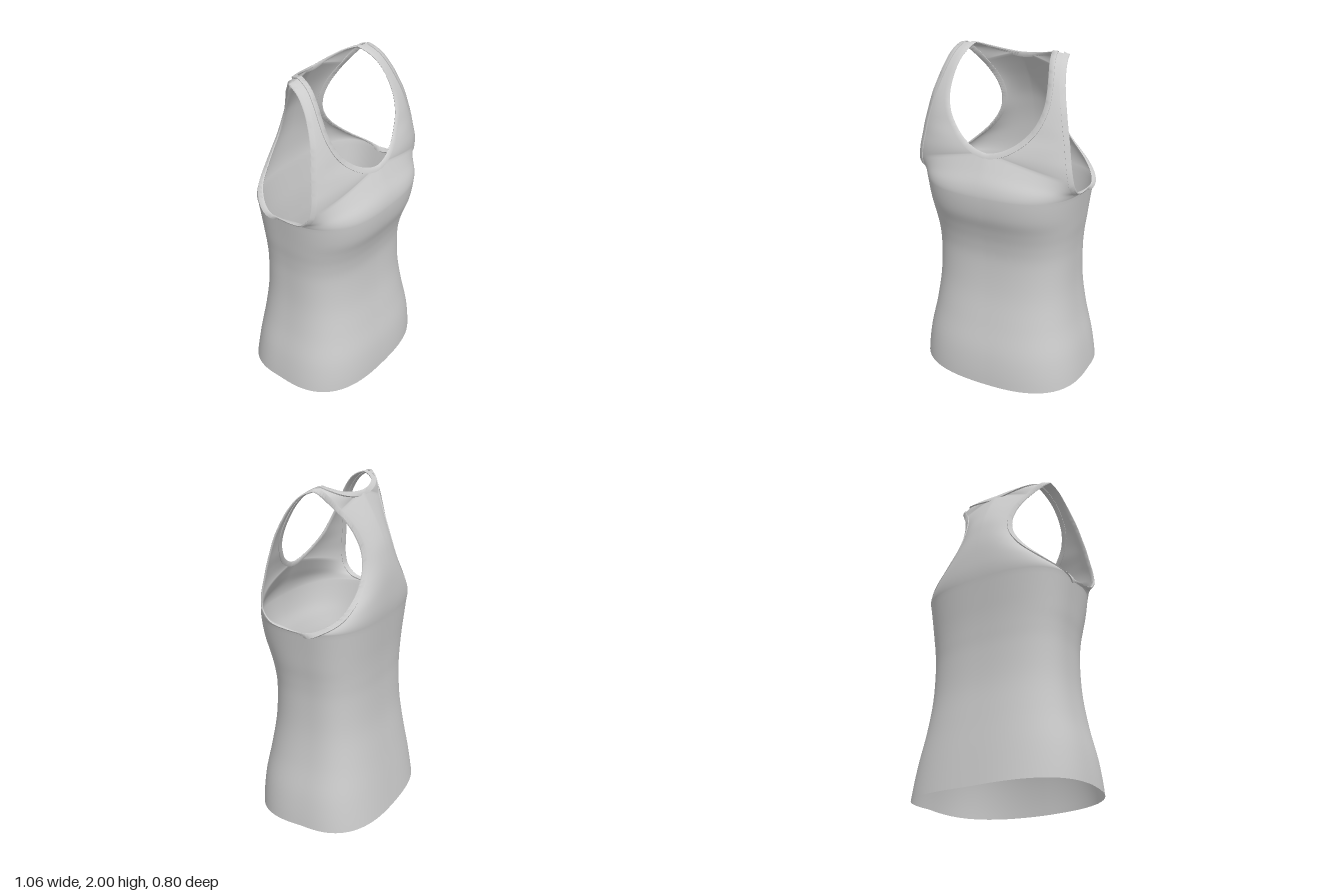
import * as THREE from 'three';
import { mergeVertices, toCreasedNormals } from 'three/addons/utils/BufferGeometryUtils.js';

// Rows run from an inner point (centre line / neckline) to an outer point
// (side seam / armhole): [xi, yi, zi, xo, yo, zo, arc in degrees]
const SEAM = -0.03;

// Torso: height, half width, front depth, back depth
const torso = [
  [0, 0.53, 0.4, -0.4], [0.2, 0.505, 0.388, -0.37], [0.4, 0.462, 0.35, -0.338],
  [0.6, 0.435, 0.316, -0.31], [0.8, 0.43, 0.305, -0.3], [0.92, 0.437, 0.318, -0.302],
  [1.02, 0.45, 0.345, -0.307], [1.12, 0.462, 0.38, -0.316], [1.24, 0.478, 0.395, -0.328],
];
const torsoRows = (depth) => torso.map((r) =>
  [0, r[0], r[depth], r[1], r[0] + (r[0] === 0 ? 0.02 : 0), SEAM, 90]);

const bust = [
  [0, 1.24, 0.395, 0.478, 1.24, SEAM, 90],
  [0, 1.31, 0.382, 0.487, 1.25, 0.07, 77],
  [0, 1.39, 0.343, 0.492, 1.275, 0.16, 65],
  [0, 1.47, 0.302, 0.487, 1.34, 0.215, 54],
];
const frontStrap = [
  [0, 1.47, 0.302, 0.487, 1.34, 0.215, 54],
  [0.08, 1.487, 0.294, 0.475, 1.42, 0.222, 44],
  [0.16, 1.53, 0.273, 0.46, 1.5, 0.212, 38],
  [0.225, 1.59, 0.245, 0.448, 1.57, 0.202, 35],
  [0.27, 1.66, 0.22, 0.432, 1.64, 0.19, 35],
  [0.293, 1.74, 0.187, 0.412, 1.73, 0.17, 35],
  [0.293, 1.82, 0.15, 0.39, 1.81, 0.14, 35],
  [0.28, 1.9, 0.105, 0.37, 1.885, 0.1, 35],
  [0.26, 1.96, 0.048, 0.352, 1.95, 0.044, 35],
  [0.24, 1.995, SEAM, 0.335, 1.985, SEAM, 35],
];
const racerBack = [
  [0, 1.24, -0.328, 0.478, 1.24, SEAM, 90],
  [0, 1.32, -0.335, 0.462, 1.263, -0.125, 74],
  [0, 1.41, -0.333, 0.385, 1.325, -0.215, 60],
  [0, 1.5, -0.325, 0.275, 1.43, -0.252, 50],
  [0, 1.59, -0.308, 0.2, 1.54, -0.253, 44],
  [0, 1.68, -0.283, 0.175, 1.64, -0.235, 40],
  [0, 1.78, -0.238, 0.185, 1.73, -0.203, 37],
  [0, 1.87, -0.187, 0.215, 1.805, -0.167, 35],
  [0, 1.94, -0.142, 0.25, 1.865, -0.132, 35],
];
const backStrap = [
  [0, 1.94, -0.142, 0.25, 1.865, -0.132, 35],
  [0.1, 1.948, -0.134, 0.272, 1.9, -0.108, 35],
  [0.185, 1.965, -0.108, 0.293, 1.932, -0.082, 35],
  [0.225, 1.982, -0.07, 0.315, 1.965, -0.055, 35],
  [0.24, 1.995, SEAM, 0.335, 1.985, SEAM, 35],
];

// Smooth subdivision of a row table
function refine(rows, steps) {
  const n = rows.length;
  const end = (a, b, c) => a.map((v, k) => 3 * v - 3 * b[k] + c[k]);
  const p = [end(rows[0], rows[1], rows[2]), ...rows, end(rows[n - 1], rows[n - 2], rows[n - 3])];
  const out = [];
  for (let i = 1; i < n; i++) {
    for (let j = 0; j < steps; j++) {
      const t = j / steps;
      out.push(p[i].map((b, k) => {
        const a = p[i - 1][k], c = p[i + 1][k], d = p[i + 2][k];
        return b + 0.5 * t * (c - a + t * (2 * a - 5 * b + 4 * c - d + t * (3 * (b - c) + d - a)));
      }));
    }
  }
  out.push(rows[n - 1]);
  return out;
}

// One row of points following part of a rounded-square arc
const COLS = 28, POWER = 2.8;
function rowPoints([xi, yi, zi, xo, yo, zo, deg]) {
  const arc = (phi) => {
    const s = Math.sin(phi), c = Math.max(0, Math.cos(phi));
    const r = (s ** POWER + c ** POWER) ** (-1 / POWER);
    return [r * s, 1 - r * c];
  };
  const max = deg * Math.PI / 180, [ex, ez] = arc(max);
  return Array.from({ length: COLS + 1 }, (_, j) => {
    const s = j / COLS, [ax, az] = arc(s * max);
    return new THREE.Vector3(xi + (xo - xi) * ax / ex, yi + (yo - yi) * s ** 1.25, zi + (zo - zi) * az / ez);
  });
}

const mirror = (v) => new THREE.Vector3(-v.x, v.y, v.z);

// Weld all grids and their mirrored halves into one cloth surface
function clothGeometry(grids) {
  const pos = [], index = [];
  for (const { rows, back } of grids) for (const side of [1, -1]) {
    const base = pos.length / 3, flip = back !== (side < 0);
    rows.forEach((row) => row.forEach((v) => pos.push(side * v.x, v.y, v.z)));
    for (let i = 0; i < rows.length - 1; i++) for (let j = 0; j < COLS; j++) {
      const a = base + i * (COLS + 1) + j, b = a + 1, c = a + COLS + 1, d = c + 1;
      if (flip) index.push(a, d, b, a, c, d);
      else index.push(a, b, d, a, d, c);
    }
  }
  let geo = new THREE.BufferGeometry();
  geo.setAttribute('position', new THREE.Float32BufferAttribute(pos, 3));
  geo.setIndex(index);
  geo = mergeVertices(geo, 1e-4);
  geo.computeVertexNormals();
  return geo;
}

// Binding swept round a closed edge; each entry holds the edge point p and a cloth point q beside it
const PROFILE = [[-0.004, 0], [0, -0.005], [0.028, -0.004], [0.028, 0.004], [0, 0.005]];
function bindingGeometry(edge, cloth) {
  const P = cloth.attributes.position, N = cloth.attributes.normal, v = new THREE.Vector3();
  const loop = edge.filter((e, i) => e.p.distanceTo(edge[(i + 1) % edge.length].p) > 1e-3);
  const n = loop.length, m = PROFILE.length;
  const at = (list, i) => list[(i + n) % n];
  const normals = loop.map(({ p }) => {
    let best = 0, dist = Infinity;
    for (let k = 0; k < P.count; k++) {
      const d = v.fromBufferAttribute(P, k).distanceToSquared(p);
      if (d < dist) { dist = d; best = k; }
    }
    return new THREE.Vector3().fromBufferAttribute(N, best);
  });
  let sum = 0;
  const frames = loop.map(({ p, q }, i) => {
    // Average over neighbours so the band turns evenly
    const up = new THREE.Vector3(), tangent = new THREE.Vector3();
    for (let k = -4; k <= 4; k++) up.addScaledVector(at(normals, i + k), 5 - Math.abs(k));
    for (const k of [1, 2]) tangent.add(at(loop, i + k).p).sub(at(loop, i - k).p);
    tangent.normalize();
    up.addScaledVector(tangent, -up.dot(tangent)).normalize();
    const inward = up.clone().cross(tangent);
    sum += inward.dot(v.copy(q).sub(p).normalize());
    return { p, up, inward };
  });
  const sign = Math.sign(sum), pos = [], index = [];
  frames.forEach(({ p, up, inward }, i) => PROFILE.forEach(([d, h], k) => {
    v.copy(p).addScaledVector(inward, sign * d).addScaledVector(up, h);
    pos.push(v.x, v.y, v.z);
    const i2 = (i + 1) % n, k2 = (k + 1) % m;
    const a = i * m + k, b = i * m + k2, c = i2 * m + k2, e = i2 * m + k;
    if (sign > 0) index.push(a, b, c, a, c, e);
    else index.push(a, c, b, a, e, c);
  }));
  const geo = new THREE.BufferGeometry();
  geo.setAttribute('position', new THREE.Float32BufferAttribute(pos, 3));
  geo.setIndex(index);
  return toCreasedNormals(geo, 0.95);
}

export function createModel() {
  const group = new THREE.Group();
  const material = new THREE.MeshStandardMaterial({ color: 0xcccccc, side: THREE.DoubleSide });
  const add = (geo, name) => {
    const mesh = new THREE.Mesh(geo, material);
    mesh.name = name;
    group.add(mesh);
  };
  const grid = (rows, steps) => refine(rows, steps).map(rowPoints);

  // Cloth body with straps
  const fBust = grid(bust, 6), fStrap = grid(frontStrap, 5);
  const bBack = grid(racerBack, 5), bStrap = grid(backStrap, 6);
  const cloth = clothGeometry([
    { rows: grid(torsoRows(2), 5), back: false }, { rows: grid(torsoRows(3), 5), back: true },
    { rows: fBust, back: false }, { rows: fStrap, back: false },
    { rows: bBack, back: true }, { rows: bStrap, back: true },
  ]);
  add(cloth, 'clothBody');

  // Armhole bindings
  const outer = (rows) => rows.map((r) => ({ p: r[COLS], q: r[COLS - 1] }));
  const inner = (rows) => rows.map((r) => ({ p: r[0], q: r[1] }));
  const flipX = (edge) => edge.map(({ p, q }) => ({ p: mirror(p), q: mirror(q) }));
  const armhole = [...outer([...fBust, ...fStrap]), ...outer([...bBack, ...bStrap]).reverse()];
  add(bindingGeometry(armhole, cloth), 'leftArmholeBinding');
  add(bindingGeometry(flipX(armhole), cloth), 'rightArmholeBinding');

  // Neckline binding
  const halfNeck = [...inner(fStrap), ...inner(bStrap).reverse()];
  add(bindingGeometry([...halfNeck, ...flipX(halfNeck).reverse()], cloth), 'necklineBinding');
  return group;
}
